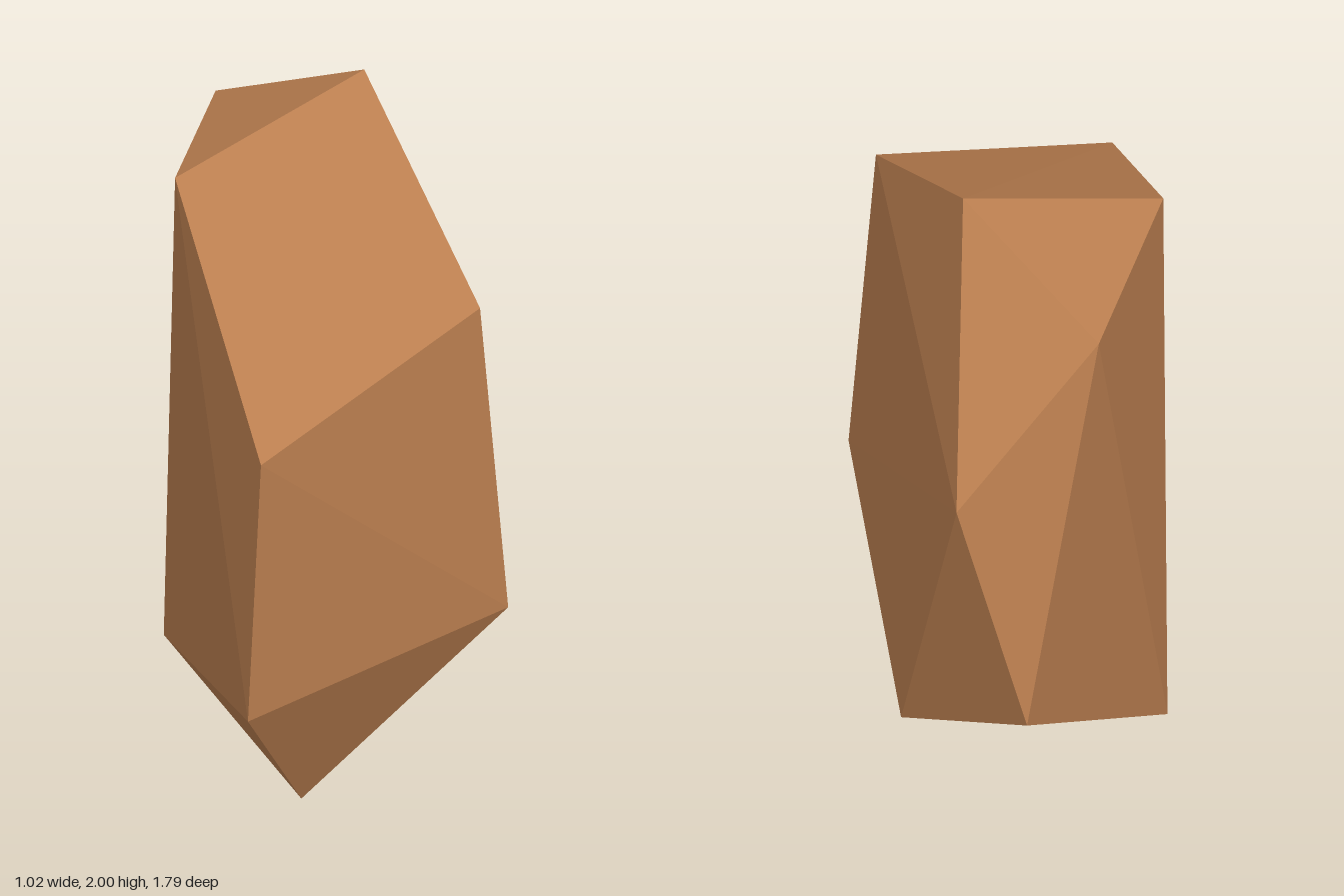
import * as THREE from 'three';
import { ConvexGeometry } from 'three/addons/geometries/ConvexGeometry.js';

export function createModel() {
  const group = new THREE.Group();
  group.name = 'rock';

  const makeMaterial = (name, color) => {
    const material = new THREE.MeshStandardMaterial({ color });
    material.name = name;
    return material;
  };
  const brownStone = makeMaterial('brownStone', 0xba7e4f);
  const darkStone = makeMaterial('darkStone', 0x704a46);

  // Corners of the faceted boulder, from the peak down to the foot
  const leftFoot = new THREE.Vector3(0.228, 0.225, -0.413);
  const lowestTip = new THREE.Vector3(-0.086, 0.0, 0.503);
  const corners = [
    [0.063, 2.0, -0.305],   // peak
    [-0.472, 1.828, 0.03],  // upper right shoulder
    [-0.38, 1.73, -0.59],   // upper back
    [0.428, 1.637, 0.392],  // upper left shoulder
    [-0.187, 1.402, 0.893], // front brow
    [-0.005, 1.28, -0.862], // back ridge top
    [0.51, 0.612, 0.402],   // left bulge
    [-0.217, 0.573, -0.893],// back ridge foot
    [-0.225, 0.51, 0.885],  // front chin
    [-0.512, 0.133, -0.147],// right foot
  ].map((p) => new THREE.Vector3(...p));

  // The convex hull gives flat, sharp-edged facets
  const geometry = new ConvexGeometry([...corners, leftFoot, lowestTip]);

  // The two underside facets along the edge from tip to left foot are dark
  const position = geometry.attributes.position;
  for (let i = 0; i < position.count; i += 3) {
    const facet = [0, 1, 2].map((k) => new THREE.Vector3().fromBufferAttribute(position, i + k));
    const touches = (corner) => facet.some((p) => p.distanceTo(corner) < 0.001);
    geometry.addGroup(i, 3, touches(leftFoot) && touches(lowestTip) ? 1 : 0);
  }

  const boulder = new THREE.Mesh(geometry, [brownStone, darkStone]);
  boulder.name = 'boulder';
  group.add(boulder);

  return group;
}
